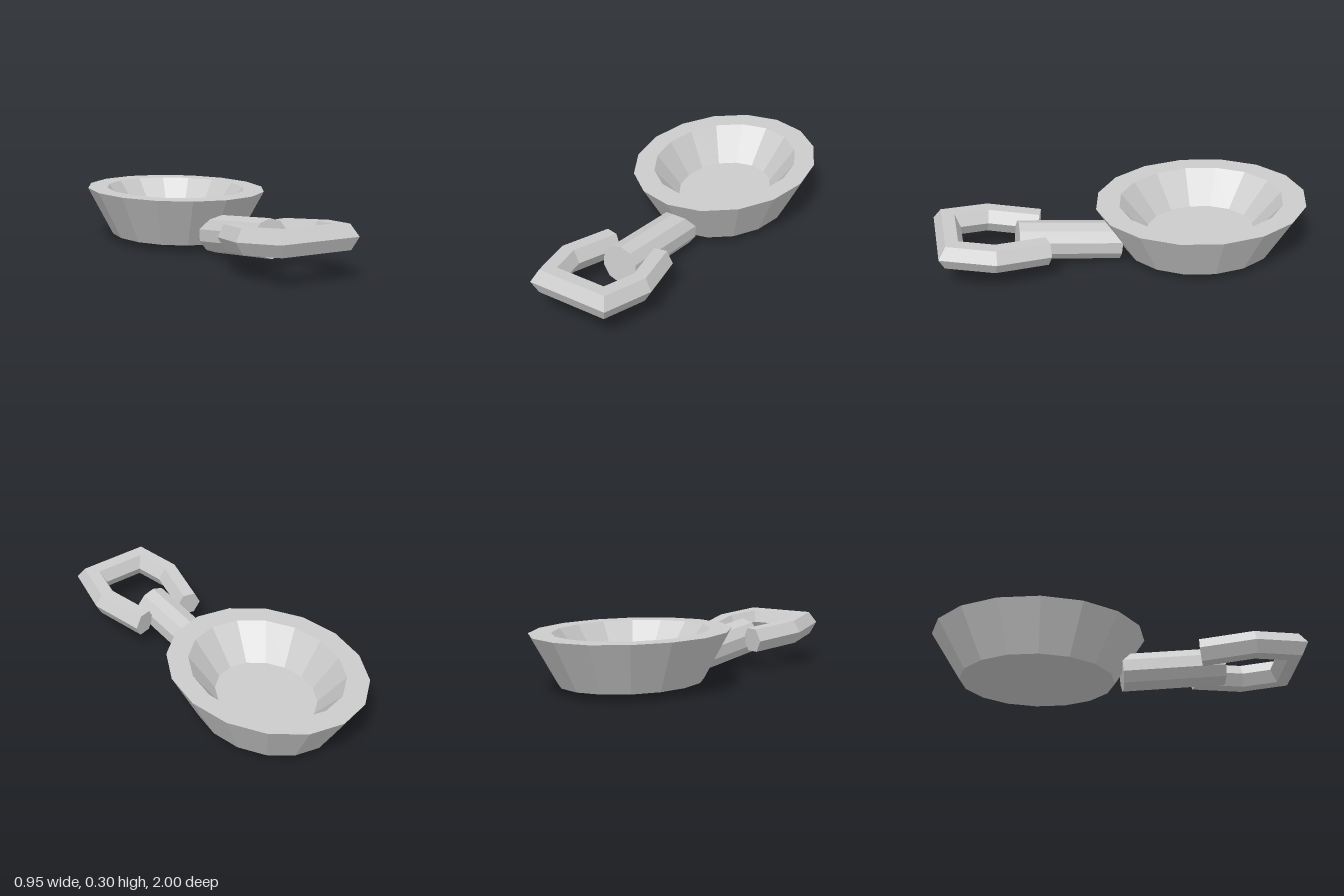
import * as THREE from 'three';

const material = new THREE.MeshStandardMaterial({ color: 0xcccccc, flatShading: true });

function addMesh(group, name, geometry) {
  const mesh = new THREE.Mesh(geometry, material);
  mesh.name = name;
  group.add(mesh);
  return mesh;
}

// Hexagonal bar swept with mitred corners along a path in the xz plane, capped at both ends
function hexBar(path, halfWidth, halfHeight) {
  const up = new THREE.Vector3(0, 1, 0);
  const points = path.map(([x, z]) => new THREE.Vector3(x, 0, z));
  const last = points.length - 1;
  const positions = [];
  const index = [];
  const sideOf = (i) => {
    const tangent = points[i + 1].clone().sub(points[i]).normalize();
    return up.clone().cross(tangent);
  };
  points.forEach((p, i) => {
    const a = sideOf(Math.max(i - 1, 0));
    const b = sideOf(Math.min(i, last - 1));
    const miter = a.clone().add(b).normalize();
    miter.multiplyScalar(halfWidth / miter.dot(a));
    for (let j = 0; j < 6; j++) {
      const angle = (j * Math.PI) / 3;
      const v = p.clone().addScaledVector(miter, Math.cos(angle));
      v.y = (halfHeight * Math.sin(angle)) / Math.sin(Math.PI / 3);
      positions.push(v.x, v.y, v.z);
    }
  });
  for (let i = 0; i < last; i++) {
    for (let j = 0; j < 6; j++) {
      const a = i * 6 + j;
      const b = i * 6 + ((j + 1) % 6);
      index.push(a, b, b + 6, a, b + 6, a + 6);
    }
  }
  const end = last * 6;
  for (let j = 1; j < 5; j++) {
    index.push(0, j + 1, j, end, end + j, end + j + 1);
  }
  const geometry = new THREE.BufferGeometry();
  geometry.setAttribute('position', new THREE.Float32BufferAttribute(positions, 3));
  geometry.setIndex(index);
  geometry.computeVertexNormals();
  return geometry;
}

export function createModel() {
  const model = new THREE.Group();
  model.name = 'ladle';

  // Oval bowl: base, sloping wall, wide flat rim, sloping inside and floor
  const profile = [[0, 0.04], [0.343, 0.04], [0.475, 0.302], [0.37, 0.302], [0.243, 0.125], [0, 0.125]];
  const bowlGeometry = new THREE.LatheGeometry(profile.map(([x, y]) => new THREE.Vector2(x, y)), 16);
  bowlGeometry.scale(1, 1, 1.21);
  const bowl = addMesh(model, 'bowl', bowlGeometry);
  bowl.position.z = -0.425;

  // Ten-sided handle, rising slightly to the front
  const handleGeometry = new THREE.CylinderGeometry(0.103, 0.103, 0.553, 10);
  handleGeometry.rotateX(Math.PI / 2);
  const handle = addMesh(model, 'handle', handleGeometry);
  handle.position.set(0, 0.134, 0.3);
  handle.rotation.x = -0.107;

  // Open loop that grips the end of the handle
  const half = [[0.152, -0.277], [0.22, 0], [0.17, 0.22]];
  const mirrored = half.map(([x, z]) => [-x, z]).reverse();
  const loop = addMesh(model, 'hangingLoop', hexBar([...half, ...mirrored], 0.069, 0.064));
  loop.position.set(0, 0.193, 0.712);
  loop.rotation.x = -0.09;

  return model;
}
